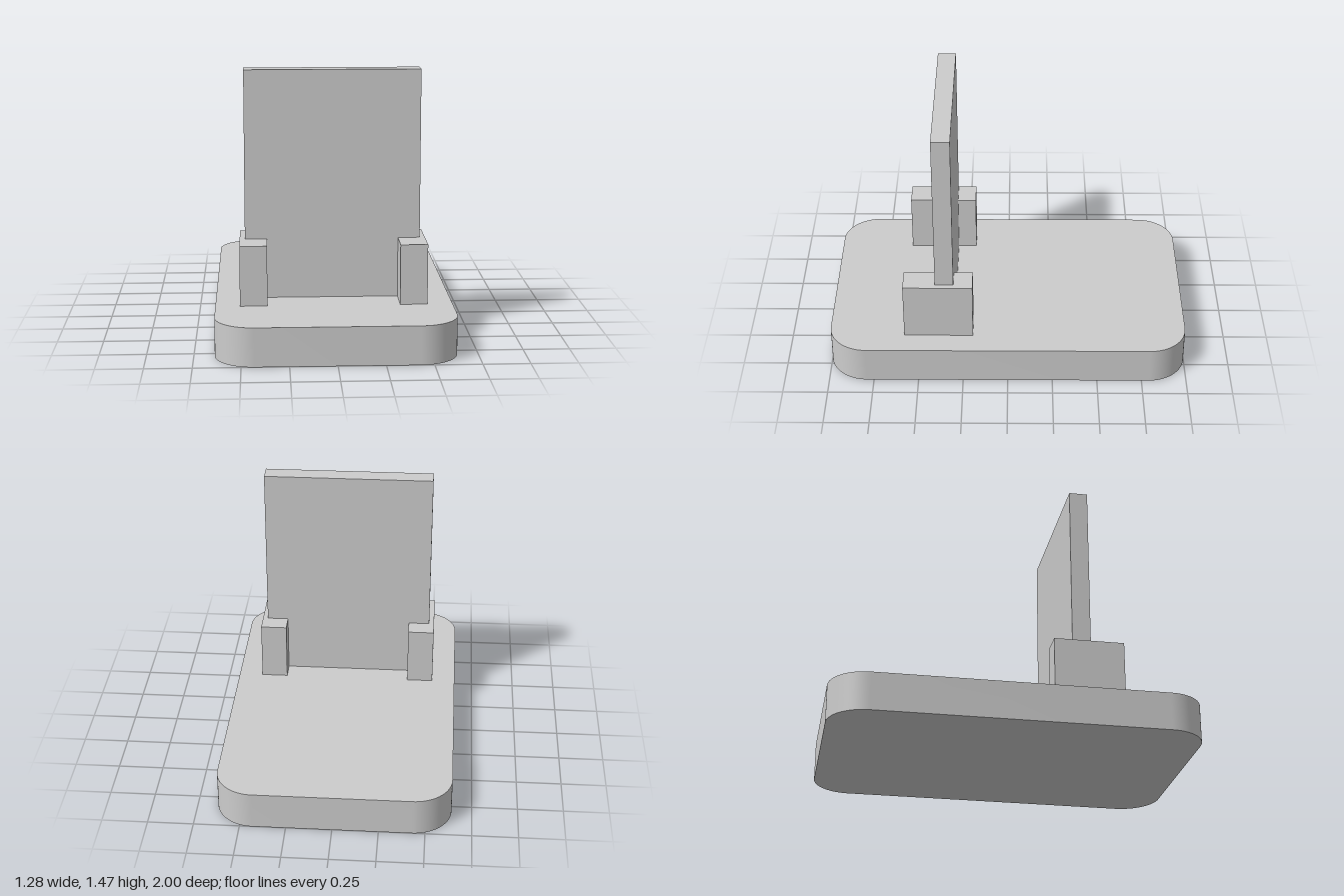
import * as THREE from 'three';
import { toCreasedNormals } from 'three/addons/utils/BufferGeometryUtils.js';

const BASE_TOP = 0.21;

// Outline of a rectangle with rounded corners, centred on the origin
function roundedRect(w, d, r) {
  const x = w / 2, y = d / 2;
  const s = new THREE.Shape();
  s.moveTo(-x + r, -y);
  s.lineTo(x - r, -y);
  s.absarc(x - r, -y + r, r, -Math.PI / 2, 0);
  s.lineTo(x, y - r);
  s.absarc(x - r, y - r, r, 0, Math.PI / 2);
  s.lineTo(-x + r, y);
  s.absarc(-x + r, y - r, r, Math.PI / 2, Math.PI);
  s.lineTo(-x, -y + r);
  s.absarc(-x + r, -y + r, r, Math.PI, Math.PI * 1.5);
  return s;
}

export function createModel() {
  const group = new THREE.Group();
  const grey = new THREE.MeshStandardMaterial({ color: 0xcccccc });
  grey.name = 'light grey';

  const add = (name, geometry, x = 0, y = 0, z = 0) => {
    const mesh = new THREE.Mesh(geometry, grey);
    mesh.name = name;
    mesh.position.set(x, y, z);
    group.add(mesh);
  };

  // Base slab with rounded corners
  const slab = new THREE.ExtrudeGeometry(roundedRect(1.28, 2, 0.21), {
    depth: BASE_TOP, bevelEnabled: false, curveSegments: 16,
  });
  slab.rotateX(-Math.PI / 2);
  add('base', toCreasedNormals(slab, Math.PI / 6));

  // Upright panel
  const panelHeight = 1.465 - BASE_TOP;
  add('panel', new THREE.BoxGeometry(0.955, panelHeight, 0.102),
    -0.002, BASE_TOP + panelHeight / 2, 0.352);

  // Blocks that hold the panel's two edges
  const blockHeight = 0.54 - BASE_TOP;
  for (const side of [-1, 1]) {
    add(side > 0 ? 'leftBlock' : 'rightBlock', new THREE.BoxGeometry(0.148, blockHeight, 0.385),
      side * 0.432 - 0.002, BASE_TOP + blockHeight / 2, 0.388);
  }

  return group;
}
